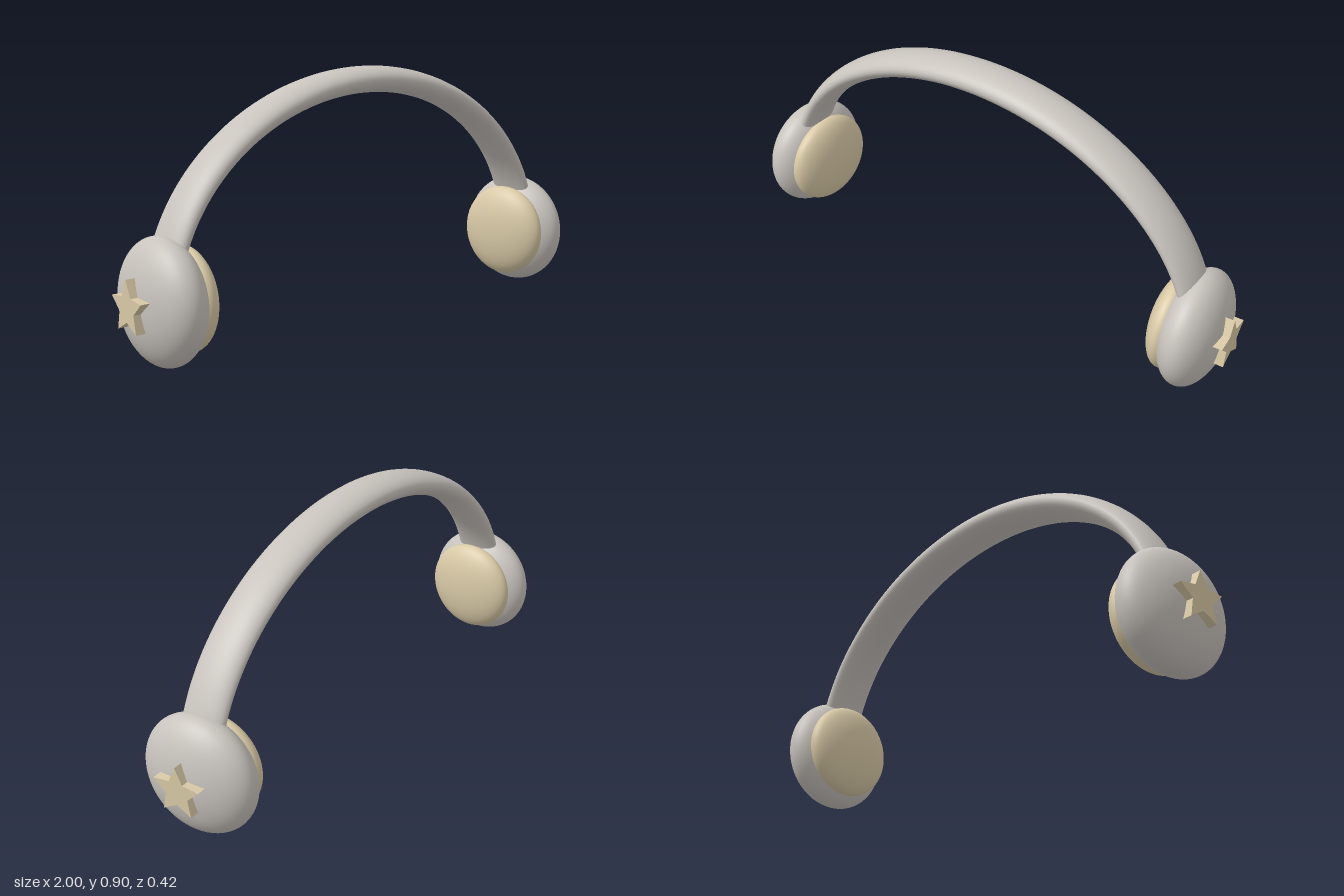
import * as THREE from 'three';
import { ParametricGeometry } from 'three/addons/geometries/ParametricGeometry.js';

const shell = new THREE.MeshStandardMaterial({ color: 0xc8c3bd });
shell.name = 'warm grey shell';
const cream = new THREE.MeshStandardMaterial({ color: 0xd8c9a6 });
cream.name = 'cream';

function addMesh(parent, name, geometry, material) {
  const mesh = new THREE.Mesh(geometry, material);
  mesh.name = name;
  parent.add(mesh);
  return mesh;
}

// Half-ellipse arch with an oval cross-section, slimmer towards its ends
function bandGeometry() {
  return new ParametricGeometry((u, v, p) => {
    const t = Math.PI * u;
    const c = Math.cos(v * Math.PI * 2);
    const s = Math.sin(v * Math.PI * 2);
    p.set(
      (0.87 + 0.0335 * c) * Math.cos(t),
      0.2 + (0.6585 + 0.0465 * c) * Math.sin(t),
      0.005 + 0.083 * s
    );
  }, 96, 32);
}

// Flattened ball whose short axis is x
function discGeometry(halfDepth, radius) {
  return new THREE.SphereGeometry(1, 64, 40)
    .rotateZ(-Math.PI / 2)
    .scale(halfDepth, radius, radius);
}

// Five-pointed star facing +x
function starGeometry() {
  const shape = new THREE.Shape();
  for (let i = 0; i < 10; i++) {
    const r = i % 2 ? 0.044 : 0.091;
    const a = Math.PI / 2 + (i * Math.PI) / 5;
    if (i === 0) shape.moveTo(r * Math.cos(a), r * Math.sin(a));
    else shape.lineTo(r * Math.cos(a), r * Math.sin(a));
  }
  shape.closePath();
  return new THREE.ExtrudeGeometry(shape, { depth: 0.06, bevelEnabled: false })
    .rotateY(Math.PI / 2);
}

// Ear cup built facing outward along +x
function earCup(name) {
  const cup = new THREE.Group();
  cup.name = name;
  addMesh(cup, 'cupShell', discGeometry(0.106, 0.209), shell);
  addMesh(cup, 'earPad', discGeometry(0.07, 0.175), cream).position.x = -0.075;
  addMesh(cup, 'starBadge', starGeometry(), cream).position.x = 0.069;
  return cup;
}

export function createModel() {
  const model = new THREE.Group();
  model.name = 'headphones';
  addMesh(model, 'headband', bandGeometry(), shell);

  // Cups are toed slightly, opening towards the front
  const tilt = 0.07;
  for (const side of [1, -1]) {
    const cup = earCup(side > 0 ? 'leftEarCup' : 'rightEarCup');
    cup.position.set(side * 0.866, 0.212, 0);
    cup.rotation.y = side > 0 ? tilt : Math.PI - tilt;
    model.add(cup);
  }
  return model;
}
